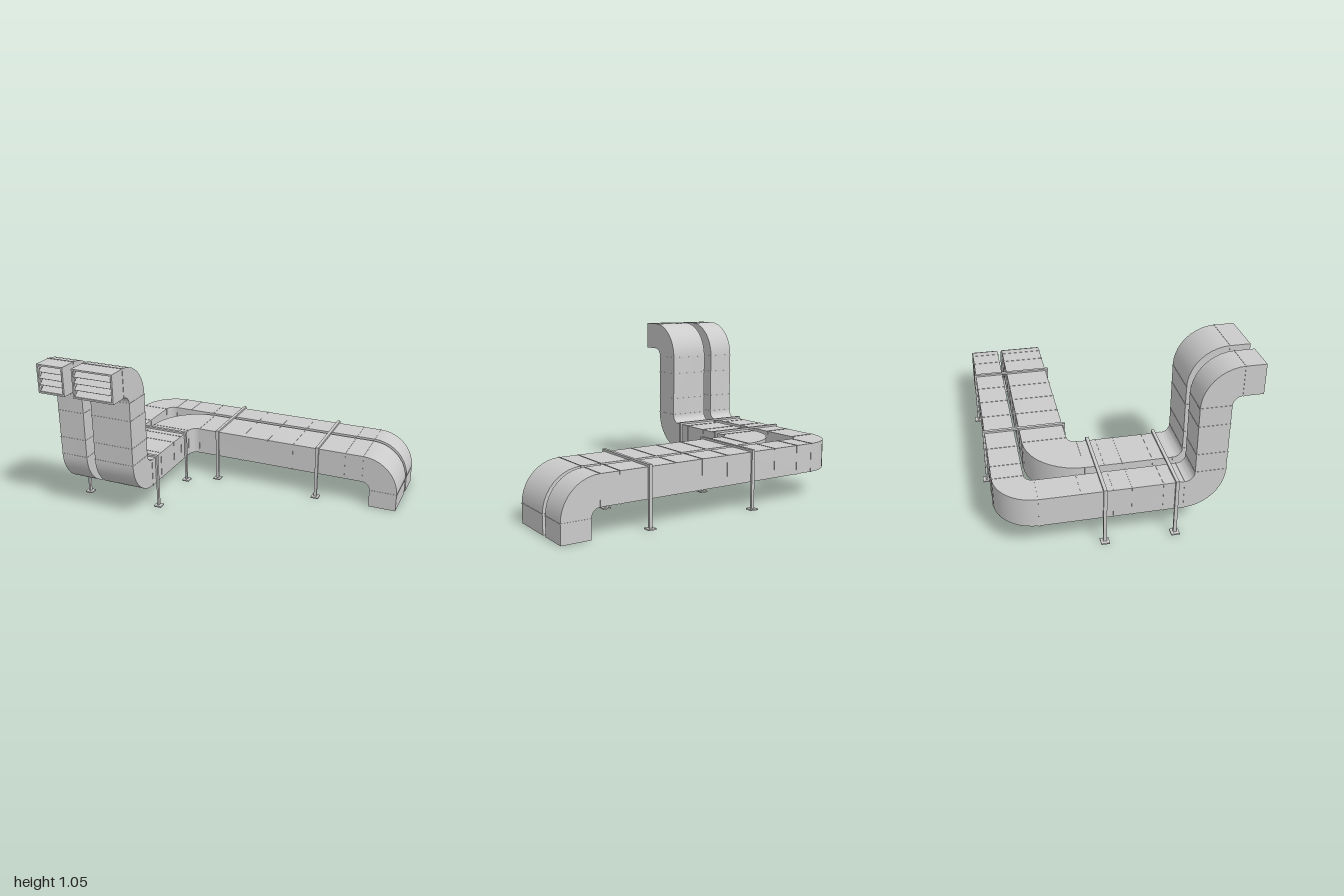
import * as THREE from 'three';
import { toCreasedNormals } from 'three/addons/utils/BufferGeometryUtils.js';

const metal = new THREE.MeshStandardMaterial({ color: 0xcccccc });
const sheet = new THREE.MeshStandardMaterial({ color: 0xcccccc, side: THREE.DoubleSide });
const H = 0.18; // duct height
const R = 0.055; // inner radius of every bend

function box(name, w, h, d, x, y, z) {
  const m = new THREE.Mesh(new THREE.BoxGeometry(w, h, d), metal);
  m.name = name;
  m.position.set(x, y, z);
  return m;
}

// Open rectangular tube through rings of { matrix, w, h }
function loft(name, rings) {
  const pos = [], idx = [];
  const v = new THREE.Vector3();
  for (const { matrix, w, h } of rings) {
    for (const [sx, sy] of [[-1, -1], [1, -1], [1, 1], [-1, 1]]) {
      v.set(sx * w / 2, sy * h / 2, 0).applyMatrix4(matrix);
      pos.push(v.x, v.y, v.z);
    }
  }
  for (let i = 0; i < rings.length - 1; i++) {
    for (let k = 0; k < 4; k++) {
      const a = i * 4 + k, b = i * 4 + (k + 1) % 4;
      idx.push(a, b, b + 4, a, b + 4, a + 4);
    }
  }
  const g = new THREE.BufferGeometry();
  g.setAttribute('position', new THREE.Float32BufferAttribute(pos, 3));
  g.setIndex(idx);
  const m = new THREE.Mesh(toCreasedNormals(g, 0.6), sheet);
  m.name = name;
  return m;
}

// Frame and tilted slats closing the upper mouth
function grille(w) {
  const g = new THREE.Group();
  g.name = 'grille';
  const t = 0.01, d = 0.016;
  for (const s of [-1, 1]) {
    g.add(box('grilleRail', w, t, d, 0, s * (H - t) / 2, -d / 2 + 0.001));
    g.add(box('grilleStile', t, H - 2 * t, d, s * (w - t) / 2, 0, -d / 2 + 0.001));
  }
  for (let i = 0; i < 4; i++) {
    const slat = box('grilleSlat', w - 2 * t, 0.003, 0.056, 0, -0.06 + i * 0.04, -0.026);
    slat.rotation.x = Math.PI / 4;
    g.add(slat);
  }
  return g;
}

// Duct laid out by walking a frame: z forward, x across, y towards its upper face
function duct(name, w, zCentre, run, reach) {
  const g = new THREE.Group();
  g.name = name;
  const M = new THREE.Matrix4().makeBasis(
    new THREE.Vector3(0, 0, 1), new THREE.Vector3(1, 0, 0), new THREE.Vector3(0, 1, 0)
  ).setPosition(0.91, 0, zCentre);
  const rings = [];
  const ring = () => rings.push({ matrix: M.clone(), w, h: H });
  const shifted = (x, y, z) => M.clone().multiply(new THREE.Matrix4().makeTranslation(x, y, z));

  // Raised lip around a joint
  const seam = (d) => {
    const e = 0.004;
    g.add(loft('seam', [[-0.003, 0], [-0.003, e], [0.003, e], [0.003, 0]].map(([o, grow]) =>
      ({ matrix: shifted(0, 0, d + o), w: w + grow, h: H + grow }))));
  };
  const straight = (len, joints = []) => {
    joints.filter((j) => j > 0 && j < len).forEach(seam);
    M.copy(shifted(0, 0, len));
    ring();
  };
  const bend = (axis, sign) => {
    const steps = 10, a = sign * Math.PI / 2 / steps;
    const px = axis === 'y' ? sign * (R + w / 2) : 0;
    const py = axis === 'x' ? -sign * (R + H / 2) : 0;
    const turn = new THREE.Matrix4().makeTranslation(px, py, 0)
      .multiply(axis === 'x' ? new THREE.Matrix4().makeRotationX(a) : new THREE.Matrix4().makeRotationY(a))
      .multiply(new THREE.Matrix4().makeTranslation(-px, -py, 0));
    seam(0);
    for (let i = 0; i < steps; i++) {
      M.multiply(turn);
      ring();
    }
    seam(0);
  };

  ring();
  straight(0.115);
  bend('x', 1); // from the floor to the long run
  straight(run, [0, 1, 2, 3, 4, 5, 6, 7].map((i) => 0.12 + i * 0.18));
  bend('y', 1); // flat corner
  straight(reach, [0.12, 0.3, 0.405, 0.585].map((d) => reach - d));
  bend('x', -1); // upwards
  straight(0.41, [0.115, 0.295]);
  bend('x', 1); // forwards to the mouth
  straight(0.115);
  g.add(loft('ductShell', rings));
  const mouth = grille(w);
  mouth.applyMatrix4(M);
  g.add(mouth);
  return g;
}

// Hanger frame: two legs with foot plates and a bar over the ducts, along local x
function support(span) {
  const g = new THREE.Group();
  g.name = 'support';
  for (const s of [-1, 1]) {
    g.add(box('supportLeg', 0.012, 0.355, 0.02, s * span / 2, 0.1775, 0));
    g.add(box('supportFoot', 0.05, 0.008, 0.05, s * span / 2, 0.004, 0));
  }
  g.add(box('supportBar', span + 0.012, 0.012, 0.02, 0, 0.358, 0));
  return g;
}

export function createModel() {
  const model = new THREE.Group();
  model.name = 'ventilationDucts';
  model.add(duct('narrowDuct', 0.18, -0.627, 1.5, 0.822));
  model.add(duct('wideDuct', 0.27, -0.37, 1.17, 0.52));

  // Supports across the long run
  for (const x of [-0.26, 0.46]) {
    const s = support(0.498);
    s.rotation.y = Math.PI / 2;
    s.position.set(x, 0, -0.473);
    model.add(s);
  }
  // Supports across the short run
  for (const z of [-0.115, 0.295]) {
    const s = support(0.526);
    s.position.set(-0.713, 0, z);
    model.add(s);
  }
  return model;
}
